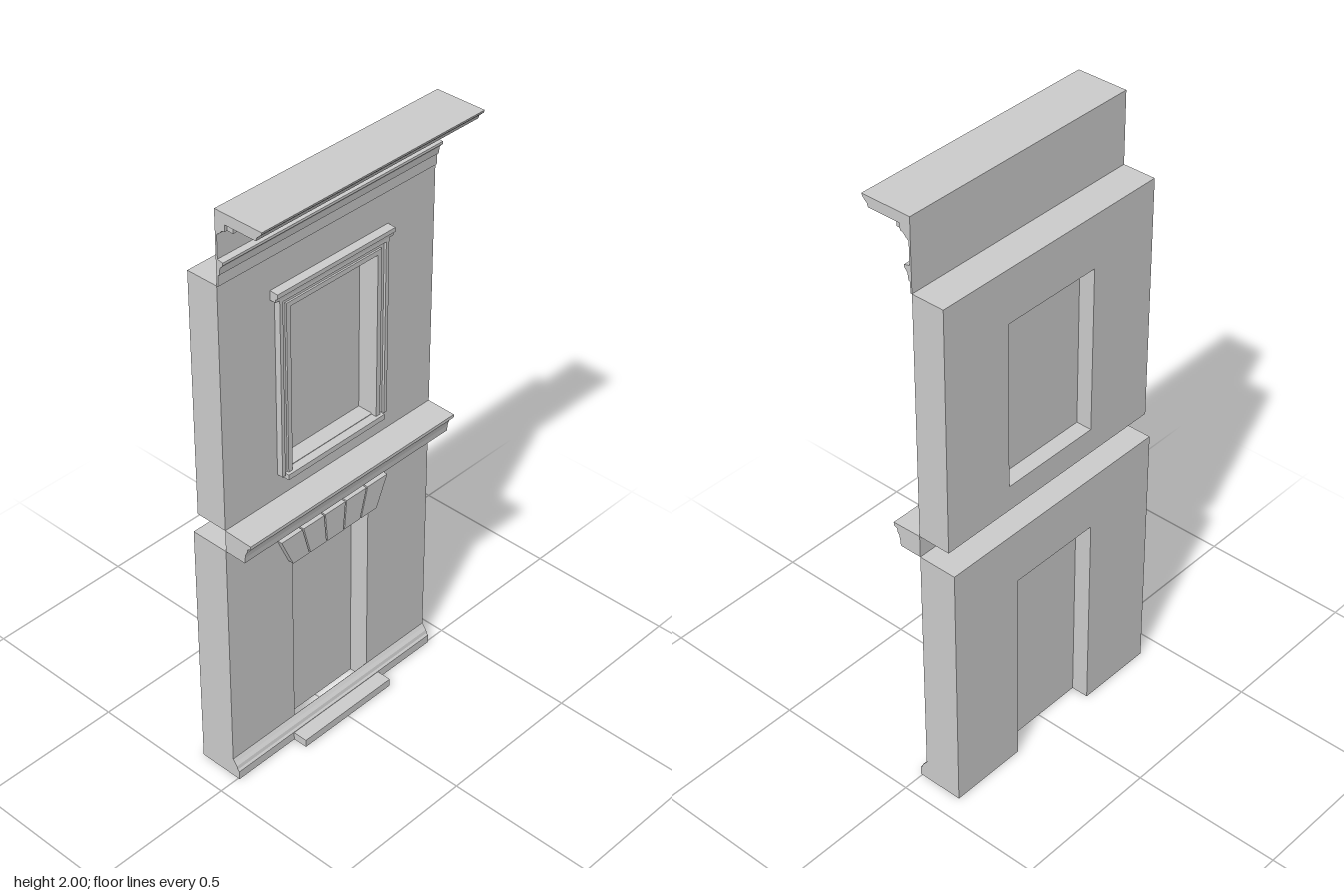
import * as THREE from 'three';

const HALF = 0.427; // half width of the facade
const WALL_FRONT = -0.02;

export function createModel() {
  const facade = new THREE.Group();
  facade.name = 'facadeBay';
  const material = new THREE.MeshStandardMaterial({ color: 0xcccccc, side: THREE.DoubleSide });

  const add = (name, geometry, parent = facade) => {
    const mesh = new THREE.Mesh(geometry, material);
    mesh.name = name;
    parent.add(mesh);
    return mesh;
  };
  const group = (name) => {
    const g = new THREE.Group();
    g.name = name;
    facade.add(g);
    return g;
  };
  const outline = (points) => new THREE.Shape(points.map(([x, y]) => new THREE.Vector2(x, y)));
  const rect = (x0, x1, y0, y1) => [[x0, y0], [x1, y0], [x1, y1], [x0, y1]];

  // Box given by its limits
  const box = (name, x0, x1, y0, y1, z0, z1, parent) =>
    add(name, new THREE.BoxGeometry(x1 - x0, y1 - y0, z1 - z0), parent)
      .position.set((x0 + x1) / 2, (y0 + y1) / 2, (z0 + z1) / 2);

  // Upright slab cut from an x,y outline, with optional holes
  const slab = (name, points, z0, z1, parent, holes = []) => {
    const shape = outline(points);
    holes.forEach((h) => shape.holes.push(outline(h)));
    const geometry = new THREE.ExtrudeGeometry(shape, { depth: z1 - z0, bevelEnabled: false });
    geometry.translate(0, 0, z0);
    return add(name, geometry, parent);
  };

  // Moulding: a z,y profile drawn out along x
  const moulding = (name, points, half, parent) => {
    const geometry = new THREE.ExtrudeGeometry(outline(points), { depth: half * 2, bevelEnabled: false });
    geometry.translate(0, 0, -half);
    geometry.rotateY(-Math.PI / 2);
    return add(name, geometry, parent);
  };

  // Ground floor wall with doorway
  const door = 0.162;
  slab('groundFloorWall', [
    [-HALF, 0], [-door, 0], [-door, 0.69], [door, 0.69], [door, 0],
    [HALF, 0], [HALF, 0.875], [-HALF, 0.875],
  ], -0.15, WALL_FRONT);
  box('doorPanel', -door, door, 0, 0.69, -0.092, -0.088);

  // Plinth and doorstep
  moulding('plinth', [
    [-0.021, 0], [0.005, 0], [0.005, 0.03], [-0.001, 0.036], [-0.004, 0.047],
    [-0.012, 0.056], [-0.02, 0.067], [-0.021, 0.067],
  ], HALF);
  box('doorStep', -0.19, 0.19, 0.001, 0.028, 0, 0.055);

  // Splayed flat arch of five wedge stones
  const lintel = group('doorLintel');
  const stones = 5;
  const topHalf = 0.227, lowHalf = 0.181, joint = 0.0025;
  for (let i = 0; i < stones; i++) {
    const a = (2 * i) / stones - 1, b = (2 * (i + 1)) / stones - 1;
    slab('lintelStone', [
      [a * lowHalf + joint, 0.692], [b * lowHalf - joint, 0.692],
      [b * topHalf - joint, 0.795], [a * topHalf + joint, 0.795],
    ], WALL_FRONT - 0.002, 0, lintel);
  }

  // Belt course between the floors
  moulding('beltCourse', [
    [-0.02, 0.875], [0.055, 0.875], [0.057, 0.895], [0.06, 0.91], [0.066, 0.92],
    [0.068, 0.931], [0.08, 0.936], [0.08, 0.947], [-0.02, 0.95],
  ], HALF);

  // Upper floor wall with window opening
  const pane = 0.176;
  slab('upperFloorWall', rect(-HALF, HALF, 0.95, 1.765), -0.13, WALL_FRONT, facade,
    [rect(-pane, pane, 1.035, 1.59)]);
  box('windowPanel', -pane, pane, 1.035, 1.59, -0.077, -0.073);

  // Stepped window surround, sill and hood
  const surround = group('windowSurround');
  const band = (name, outer, inner, topOuter, topInner, z) => slab(name, [
    [-outer, 1.03], [-inner, 1.03], [-inner, topInner], [inner, topInner],
    [inner, 1.03], [outer, 1.03], [outer, topOuter], [-outer, topOuter],
  ], WALL_FRONT - 0.002, z, surround);
  band('outerArchitrave', 0.217, 0.205, 1.63, 1.618, 0);
  band('middleArchitrave', 0.205, 0.19, 1.618, 1.604, -0.008);
  band('innerArchitrave', 0.19, 0.174, 1.604, 1.588, -0.002);
  box('windowSill', -0.2, 0.2, 1.015, 1.033, WALL_FRONT - 0.002, 0.008, surround);
  moulding('windowHood', [
    [-0.022, 1.627], [0, 1.627], [0.001, 1.637], [0.008, 1.642], [0.008, 1.656], [-0.022, 1.658],
  ], 0.233, surround);

  // Top entablature: architrave, frieze and cornice in one profile
  moulding('entablature', [
    [-0.02, 1.765], [-0.015, 1.765], [-0.014, 1.8], [-0.009, 1.803], [-0.006, 1.825],
    [0.005, 1.838], [0.005, 1.846], [-0.014, 1.85], [-0.014, 1.925], [-0.004, 1.932],
    [0.006, 1.943], [0.016, 1.945], [0.016, 1.966], [0.128, 1.966], [0.132, 1.978],
    [0.141, 1.985], [0.148, 1.993], [0.15, 2], [-0.02, 2],
  ], HALF);

  // Row of dentils under the cornice
  const dentils = group('dentils');
  const count = 20, pitch = (2 * HALF) / count;
  for (let i = 0; i < count; i++) {
    const x = -HALF + (i + 0.5) * pitch;
    box('dentil', x - 0.012, x + 0.012, 1.944, 1.967, 0, 0.037, dentils);
  }

  // Frieze tablet with raised rim and small diamond
  const tablet = group('friezeTablet');
  box('tabletField', -0.07, 0.07, 1.87, 1.905, -0.016, -0.002, tablet);
  slab('tabletRim', rect(-0.075, 0.075, 1.865, 1.91), -0.016, 0.005, tablet,
    [rect(-0.069, 0.069, 1.871, 1.904)]);
  slab('tabletDiamond', [[-0.014, 1.8875], [0, 1.879], [0.014, 1.8875], [0, 1.896]],
    -0.004, 0.004, tablet);

  return facade;
}
